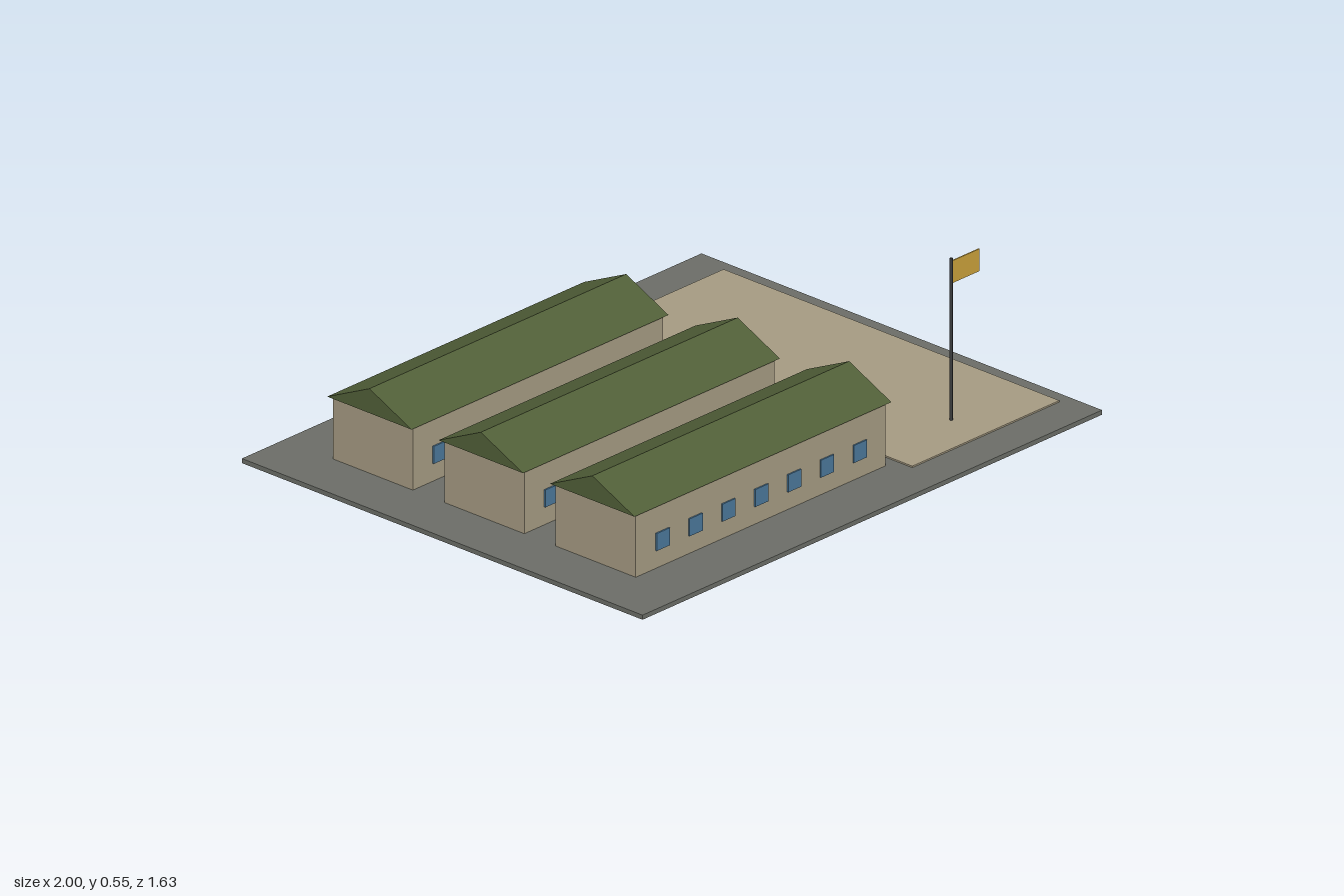
import * as THREE from 'three';

const mat = (name, color) => {
  const m = new THREE.MeshStandardMaterial({ color });
  m.name = name;
  return m;
};

export function createModel() {
  const concrete = mat('concrete', 0x6b6d67);
  const sand = mat('sand', 0xa59a82);
  const roofGreen = mat('roof green', 0x515f38);
  const glass = mat('window blue', 0x4b7799);
  const metal = mat('dark metal', 0x3a3c3d);
  const gold = mat('flag gold', 0xc8a03a);

  const model = new THREE.Group();
  model.name = 'barracks';

  const add = (parent, name, geometry, material, x, y, z) => {
    const mesh = new THREE.Mesh(geometry, material);
    mesh.name = name;
    mesh.position.set(x, y, z);
    parent.add(mesh);
    return mesh;
  };
  const box = (w, h, d) => new THREE.BoxGeometry(w, h, d);

  // Ground slab and raised parade yard
  add(model, 'groundSlab', box(2, 0.015, 1.632), concrete, 0, 0.0075, 0);
  add(model, 'paradeYard', box(0.64, 0.01, 1.368), sand, 0.635, 0.015, 0);

  // Gable roof: triangular section extruded along x
  const roofLength = 1.118;
  const gable = new THREE.Shape([
    new THREE.Vector2(-0.172, 0),
    new THREE.Vector2(0.172, 0),
    new THREE.Vector2(0, 0.08),
  ]);
  const roofGeometry = new THREE.ExtrudeGeometry(gable, { depth: roofLength, bevelEnabled: false });
  roofGeometry.translate(0, 0, -roofLength / 2).rotateY(Math.PI / 2);

  const wallGeometry = box(1.088, 0.207, 0.326);
  const windowGeometry = box(0.057, 0.057, 0.009);

  // Three identical long huts, windows along the front only
  for (const z of [-0.454, 0, 0.454]) {
    const hut = new THREE.Group();
    hut.name = 'hut';
    hut.position.set(-0.273, 0, z);
    add(hut, 'walls', wallGeometry, sand, 0, 0.1175, 0);
    add(hut, 'roof', roofGeometry, roofGreen, 0, 0.221, 0);
    for (let i = -3; i <= 3; i++) {
      add(hut, 'window', windowGeometry, glass, i * 0.143, 0.102, 0.1635);
    }
    model.add(hut);
  }

  // Flagpole and flag
  add(model, 'flagpole', new THREE.CylinderGeometry(0.005, 0.005, 0.535, 8), metal, 0.634, 0.2825, 0.544);
  add(model, 'flag', box(0.118, 0.073, 0.004), gold, 0.697, 0.504, 0.544);

  return model;
}
